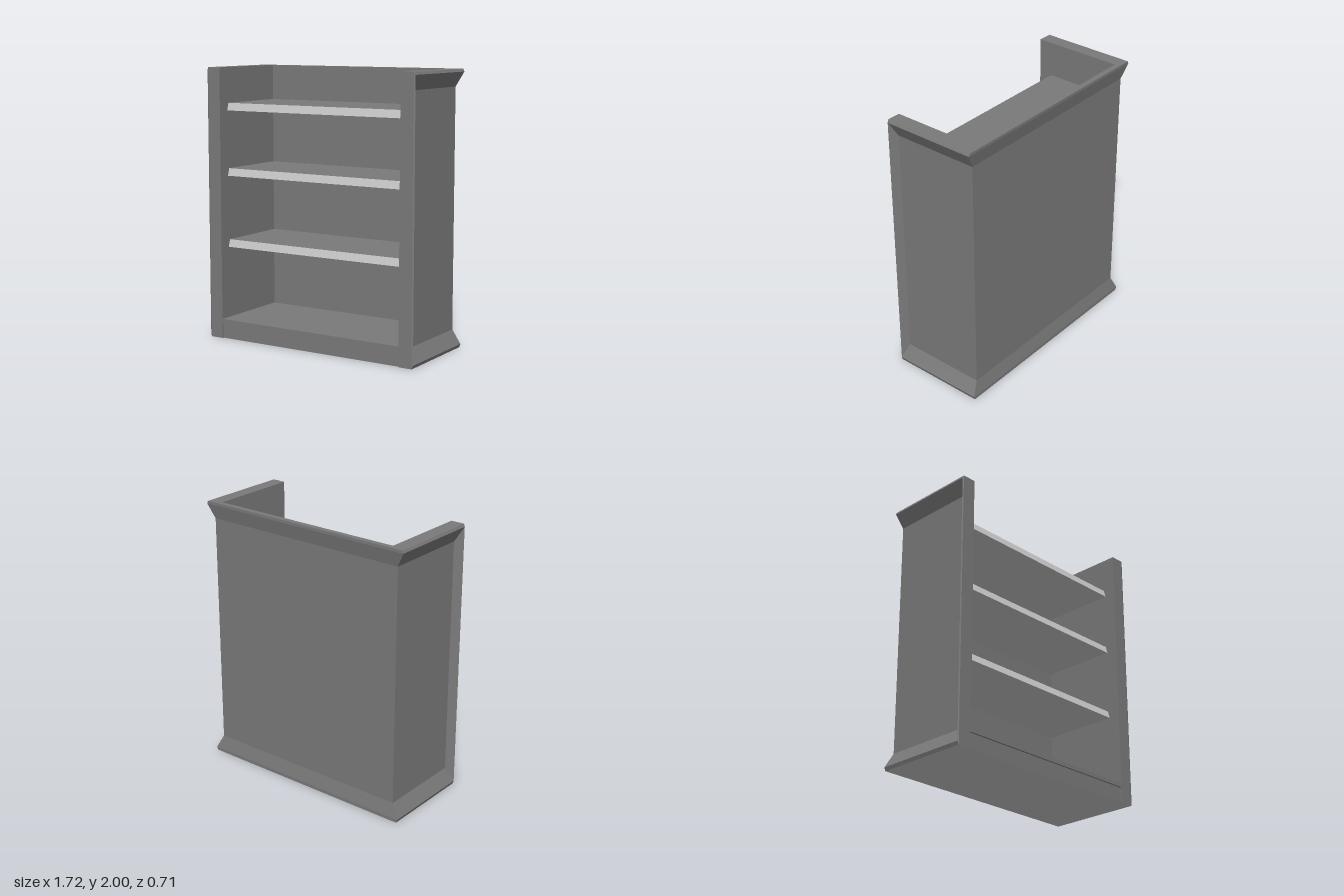
import * as THREE from 'three';

const grey = new THREE.MeshStandardMaterial({ name: 'grey paint', color: 0x7a7a7a });
const pale = new THREE.MeshStandardMaterial({ name: 'pale bare surface', color: 0xc8c8c8 });

const INNER_X = 0.75, INNER_BACK = -0.312, FRONT = 0.354, PLINTH = 0.342, HEIGHT = 2;

// Rings of the flared outer shell: [y, half width, back z, front z]
const RINGS = [
  [0, 0.852, -0.353, FRONT],
  [0.025, 0.861, -0.353, 0.35],
  [0.13, 0.805, -0.331, 0.312],
  [1.875, 0.805, -0.331, 0.312],
  [1.98, 0.861, -0.353, 0.35],
  [HEIGHT, 0.852, -0.353, FRONT],
];

// Flat-faced mesh from counter-clockwise quads
function quadMesh(name, quads, material = grey) {
  const pos = [];
  for (const [a, b, c, d] of quads) pos.push(...a, ...b, ...c, ...a, ...c, ...d);
  const geo = new THREE.BufferGeometry();
  geo.setAttribute('position', new THREE.Float32BufferAttribute(pos, 3));
  geo.computeVertexNormals();
  const mesh = new THREE.Mesh(geo, material);
  mesh.name = name;
  return mesh;
}

// A quad together with its mirror image across x = 0
const both = (q) => [q, q.map(([x, y, z]) => [-x, y, z]).reverse()];

// Faces across the inside width, following a [z, y] profile from underside to front to top
function strip(name, profile, material) {
  const quads = profile.slice(1).map(([z2, y2], i) => {
    const [z1, y1] = profile[i];
    return [[-INNER_X, y1, z1], [INNER_X, y1, z1], [INNER_X, y2, z2], [-INNER_X, y2, z2]];
  });
  return quadMesh(name, quads, material);
}

// Outer sides and back, flared at the top and bottom
function outerShell() {
  const quads = [];
  const loops = RINGS.map(([y, x, zb, zf]) => [[x, y, zf], [x, y, zb], [-x, y, zb], [-x, y, zf]]);
  for (let j = 0; j < loops.length - 1; j++) {
    for (let i = 0; i < 3; i++) {
      quads.push([loops[j][i], loops[j][i + 1], loops[j + 1][i + 1], loops[j + 1][i]]);
    }
  }
  return quadMesh('outerShell', quads);
}

// Flare along the front edge of each side, mitred into the top and bottom
function frontFlares() {
  const corner = RINGS.map(([y, x, , zf]) => [x, y, zf]);
  const quads = [];
  for (let k = 0; k < 2; k++) {
    quads.push(...both([corner[k], corner[k + 1], corner[4 - k], corner[5 - k]]));
  }
  return quadMesh('frontFlares', quads);
}

// Horizontal face of a ring: two side bands, and a middle reaching forward to middleZ
function ringFace([y, x, zb, zf], middleZ) {
  const w = INNER_X;
  return [
    ...both([[w, y, zf], [x, y, zf], [x, y, zb], [w, y, zb]]),
    [[-w, y, middleZ], [w, y, middleZ], [w, y, zb], [-w, y, zb]],
  ];
}

export function createModel() {
  const model = new THREE.Group();
  model.name = 'bookcase';
  const w = INNER_X, b = INNER_BACK, h = HEIGHT, outer = RINGS[0][1];

  model.add(outerShell(), frontFlares());
  model.add(quadMesh('topRim', ringFace(RINGS[5], b)));
  model.add(quadMesh('underside', ringFace(RINGS[0], PLINTH).map((q) => q.reverse()), pale));
  model.add(quadMesh('frontPosts', both([[w, 0, FRONT], [outer, 0, FRONT], [outer, h, FRONT], [w, h, FRONT]])));
  model.add(quadMesh('innerSides', both([[w, 0, b], [w, 0, FRONT], [w, h, FRONT], [w, h, b]])));
  model.add(strip('innerBack', [[b, 0], [b, h]], grey));

  // Recessed plinth under the bottom floor
  model.add(strip('base', [[PLINTH, 0], [PLINTH, 0.115], [FRONT, 0.115], [FRONT, 0.145], [b, 0.145]], grey));

  // Shelves: grey top, pale tilted front edge and underside
  for (const top of [0.73, 1.26, 1.74]) {
    const low = top - 0.055;
    const shelf = new THREE.Group();
    shelf.name = 'shelf';
    shelf.add(strip('shelfTop', [[0.252, top], [b, top]], grey));
    shelf.add(strip('shelfEdge', [[b, low], [0.267, low], [0.252, top]], pale));
    model.add(shelf);
  }
  return model;
}
